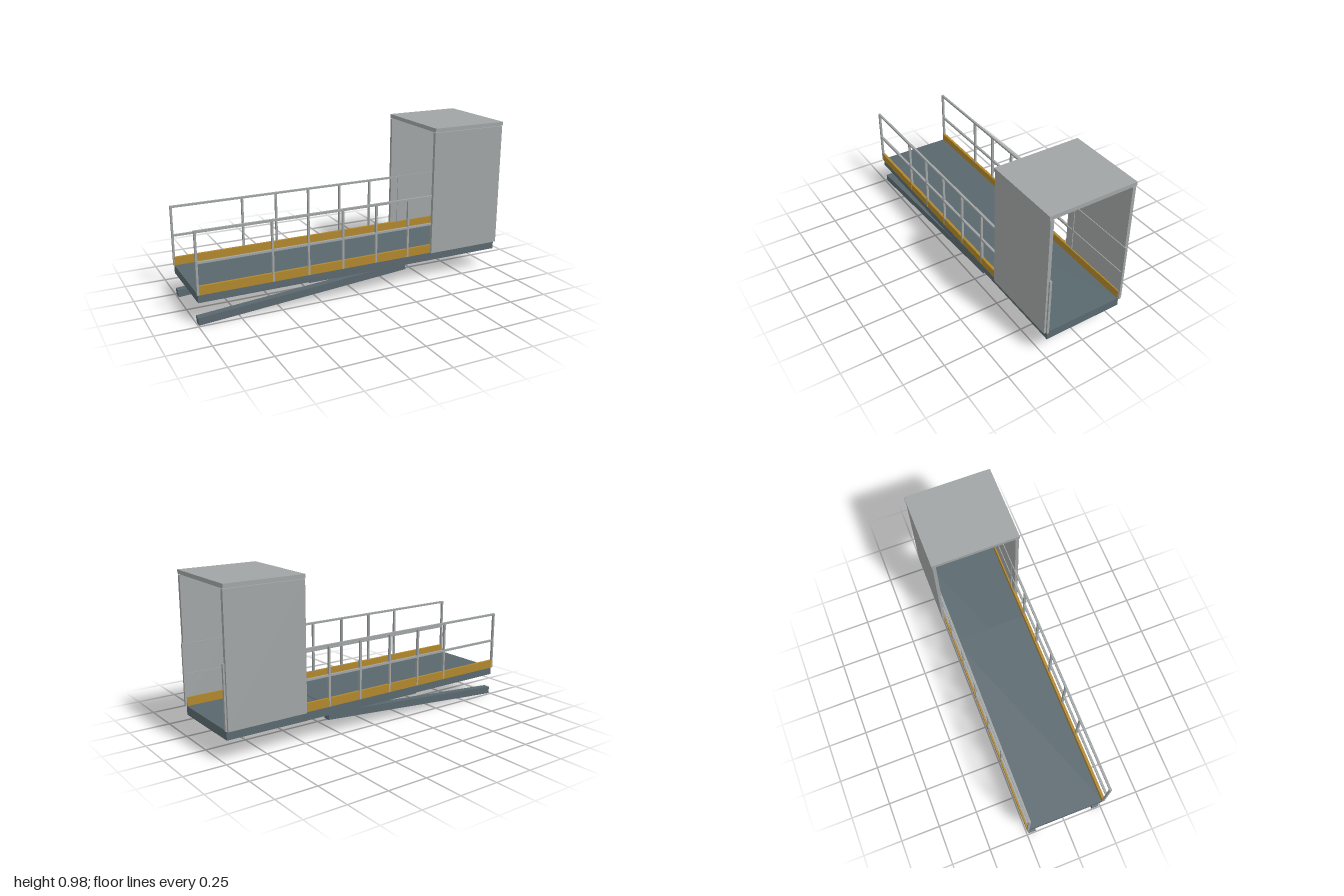
import * as THREE from 'three';

export function createModel() {
  const model = new THREE.Group();
  model.name = 'boardingBridge';

  const material = (name, color) => {
    const m = new THREE.MeshStandardMaterial({ color });
    m.name = name;
    return m;
  };
  const slate = material('slateSteel', 0x59686e);
  const grey = material('lightGrey', 0xa0a4a4);
  const ochre = material('ochreYellow', 0xb0862c);

  // Box given by its extents on each axis
  const box = (name, mat, [x0, x1], [y0, y1], [z0, z1], parent = model) => {
    const mesh = new THREE.Mesh(new THREE.BoxGeometry(x1 - x0, y1 - y0, z1 - z0), mat);
    mesh.position.set((x0 + x1) / 2, (y0 + y1) / 2, (z0 + z1) / 2);
    mesh.name = name;
    parent.add(mesh);
    return mesh;
  };

  // Two overlapping deck sections
  box('outerDeck', slate, [-0.995, 0.33], [0.14, 0.19], [-0.247, 0.247]);
  box('innerDeck', slate, [-0.33, 0.99], [0.134, 0.187], [-0.2465, 0.2465]);

  // Canopy roof
  box('canopyRoof', grey, [0.497, 0.99], [0.956, 0.98], [-0.273, 0.273]);

  for (const side of [1, -1]) {
    const group = new THREE.Group();
    group.name = side > 0 ? 'frontSide' : 'backSide';
    model.add(group);
    const span = (a, b) => (side > 0 ? [a, b] : [-b, -a]);

    // Canopy wall and kick board
    box('canopyWall', grey, [0.497, 0.99], [0.188, 0.952], span(0.247, 0.268), group);
    box('kickBoard', ochre, [-0.994, 0.99], [0.188, 0.24], span(0.239, 0.2555), group);

    // Handrails
    const railZ = span(0.242, 0.256);
    for (const y of [0.554, 0.376]) {
      box('handrail', grey, [-1, 1], [y - 0.006, y + 0.006], railZ, group);
    }

    // End posts and evenly spaced middle posts
    const posts = [-0.994, 0.994];
    for (let i = 0; i < 6; i++) posts.push(-0.553 + i * 0.2212);
    for (const x of posts) {
      box('railPost', grey, [x - 0.006, x + 0.006], [0.188, 0.56], railZ, group);
    }

    // Sloping support beam beneath the deck
    const beam = box('supportBeam', slate, [-0.998, 0.33], [0.0505, 0.0955], span(0.192, 0.237), group);
    beam.rotation.z = 0.0755;
  }

  return model;
}
